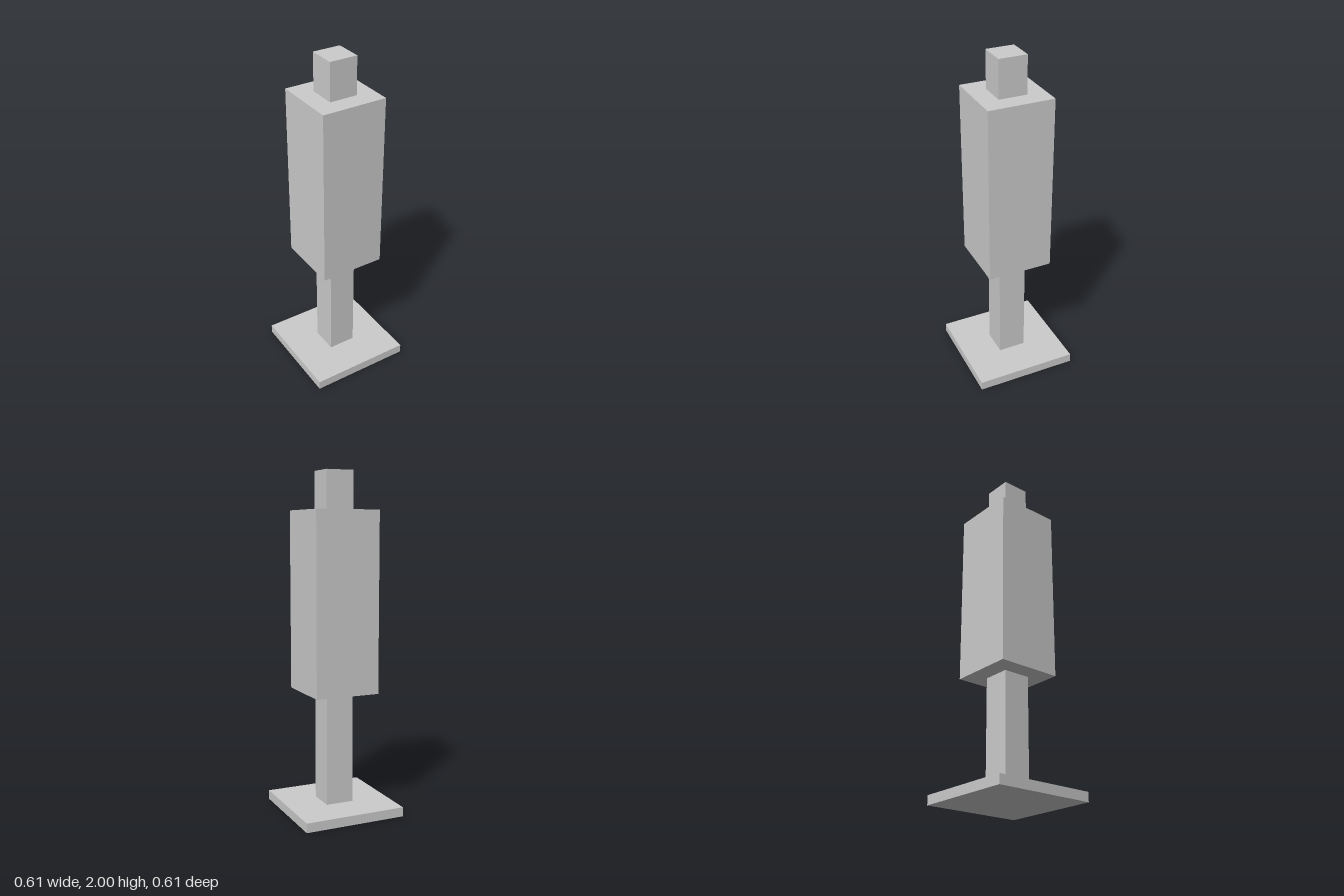
import * as THREE from 'three';

export function createModel() {
  const model = new THREE.Group();
  model.name = 'post';
  const material = new THREE.MeshStandardMaterial({ color: 0xcccccc, flatShading: true });
  const unit = 1 / 36; // proportions are whole multiples of this

  // Square block standing between two heights, centred on the axis
  function addBlock(name, width, bottom, top) {
    const geometry = new THREE.BoxGeometry(width * unit, (top - bottom) * unit, width * unit);
    const mesh = new THREE.Mesh(geometry, material);
    mesh.name = name;
    mesh.position.y = ((bottom + top) / 2) * unit;
    model.add(mesh);
  }

  addBlock('basePlate', 22, 0, 2);
  addBlock('lowerShaft', 6, 2, 26);
  addBlock('body', 14, 26, 64);
  addBlock('topStub', 6, 64, 72);

  return model;
}
